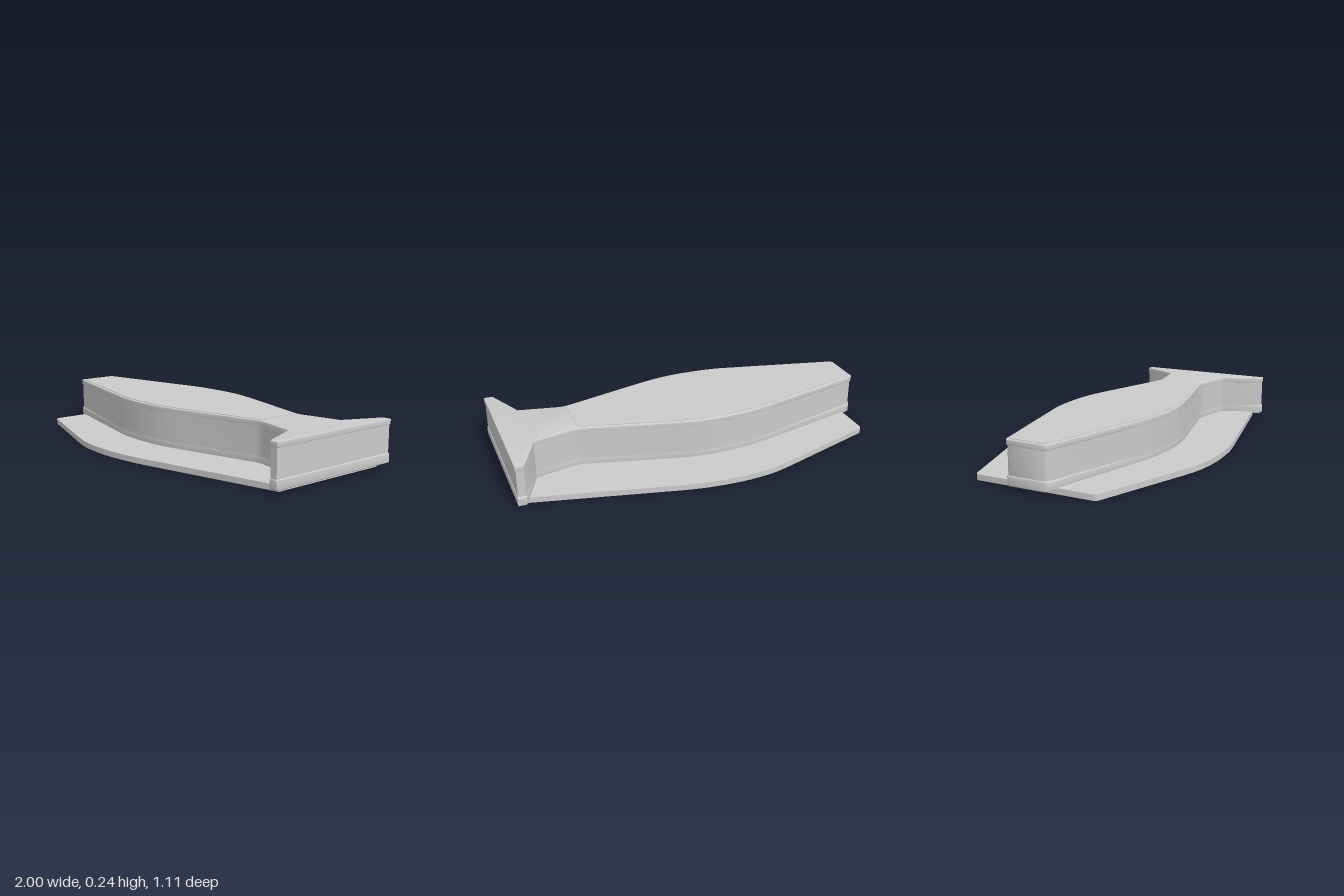
import * as THREE from 'three';
import { toCreasedNormals } from 'three/addons/utils/BufferGeometryUtils.js';

const material = new THREE.MeshStandardMaterial({ color: 0xcccccc });

// Half outline: straight start points, a smooth belly, straight end points
function halfOutline(start, belly, end) {
  const curve = new THREE.CatmullRomCurve3(belly.map(([x, z]) => new THREE.Vector3(x, z, 0)));
  return [...start, ...curve.getPoints(24).map((p) => [p.x, p.y]), ...end];
}

// Mirrored outline raised from y0 to y1 with optional small rounded edges
function slab(name, half, y0, y1, round = 0) {
  const mirrored = half.map(([x, z]) => [x, -z]).reverse();
  const shape = new THREE.Shape([...half, ...mirrored].map(([x, z]) => new THREE.Vector2(x, z)));
  let geometry = new THREE.ExtrudeGeometry(shape, {
    depth: y1 - y0 - 2 * round, bevelEnabled: round > 0,
    bevelSize: round, bevelThickness: round, bevelOffset: -round, bevelSegments: 3,
  });
  geometry.rotateX(-Math.PI / 2).translate(0, y0 + round, 0);
  geometry = toCreasedNormals(geometry, 0.6);
  const mesh = new THREE.Mesh(geometry, material);
  mesh.name = name;
  return mesh;
}

// Waisted body with a flared end; inset draws in both ends
function bodyOutline(inset = 0) {
  return halfOutline(
    [[-1 + inset, 0.1 - inset], [-0.992 + inset, 0.112 - inset], [-0.975, 0.12 - inset]],
    [[-0.42, 0.253], [-0.32, 0.275], [-0.22, 0.286], [-0.11, 0.29], [0, 0.284], [0.1, 0.267], [0.2, 0.243]],
    [[0.6, 0.138], [0.63, 0.134], [0.66, 0.138], [0.86, 0.18], [0.95, 0.382 - inset],
      [0.957, 0.39 - inset], [1 - inset, 0.39 - inset]],
  );
}

export function createModel() {
  const model = new THREE.Group();
  model.name = 'flaredBodyOnPlate';

  // Wide base plate
  const plate = halfOutline(
    [[-0.945, 0.318], [-0.941, 0.329], [-0.93, 0.338]],
    [[-0.41, 0.508], [-0.31, 0.536], [-0.21, 0.55], [-0.11, 0.555], [0, 0.55], [0.1, 0.539], [0.2, 0.52]],
    [[0.965, 0.34]],
  );
  model.add(slab('basePlate', plate, 0, 0.03));

  // Body walls between slightly proud lower and upper lips
  model.add(slab('lowerLip', bodyOutline(), 0.018, 0.07, 0.006));
  model.add(slab('bodyWall', bodyOutline(0.004), 0.06, 0.22));
  model.add(slab('upperLip', bodyOutline(), 0.213, 0.24, 0.002));

  // Thin raised panel on the top
  const panel = halfOutline(
    [[-0.982, 0.09], [-0.978, 0.099], [-0.968, 0.104]],
    [[-0.42, 0.234], [-0.32, 0.256], [-0.22, 0.268], [-0.11, 0.272], [0, 0.266], [0.1, 0.25], [0.2, 0.225]],
    [[0.605, 0.12], [0.615, 0.114]],
  );
  model.add(slab('topPanel', panel, 0.235, 0.243));
  return model;
}
